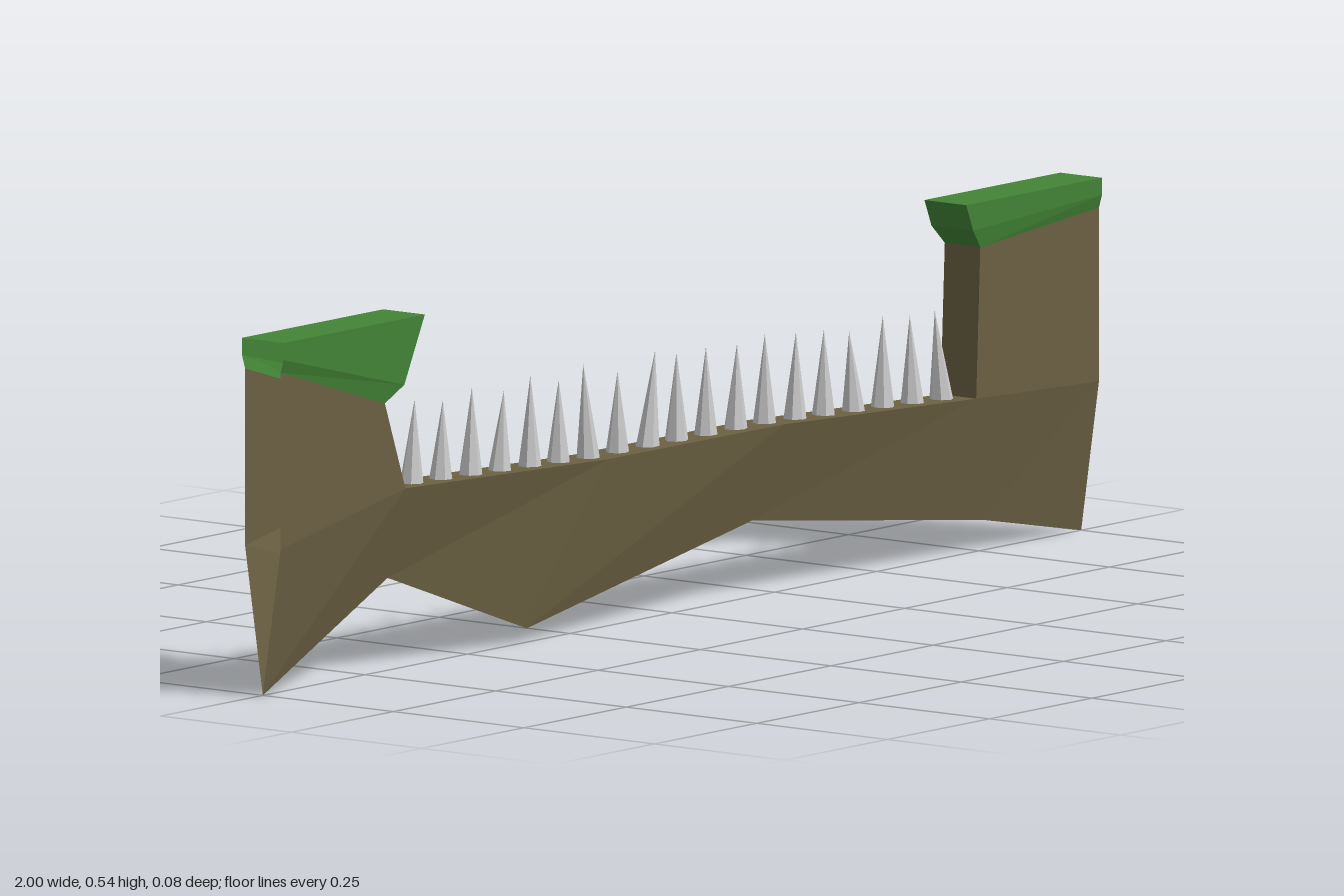
import * as THREE from 'three';

const material = (color) => new THREE.MeshStandardMaterial({ color, flatShading: true, side: THREE.DoubleSide });
const earthMaterial = material(0x6b6042);
const grassMaterial = material(0x438436);
const spikeMaterial = material(0xcccccc);

const HALF = 0.034; // half thickness of the earth
const LIP = 0.04; // half thickness of the grass

// Mesh from four-cornered faces, corners counter-clockwise from outside
function faceMesh(name, faces, mat) {
  const points = faces.flatMap(([a, b, c, d]) => [a, b, c, a, c, d]);
  const geometry = new THREE.BufferGeometry();
  geometry.setAttribute('position', new THREE.Float32BufferAttribute(points.flat(), 3));
  geometry.computeVertexNormals();
  const mesh = new THREE.Mesh(geometry, mat);
  mesh.name = name;
  return mesh;
}

// A front face given as corners, plus its mirror image at the back
const bothSides = (face) => [face, face.map(([x, y, z]) => [x, y, -z]).reverse()];

// A face spanning the thickness between two front points
const across = ([ax, ay, az], [bx, by, bz]) => [[ax, ay, az], [bx, by, bz], [bx, by, -bz], [ax, ay, -az]];

const at = (points, z) => points.map(([x, y]) => [x, y, z]);

// Upper edge of the tapering body; the middle stretch is the pit floor
const edge = at([[-1, 0.23], [-0.695, 0.285], [-0.2, 0.267], [0.23, 0.266], [0.7, 0.246], [1, 0.235]], HALF);
// Ridge along the underside
const keel = at([[-1, 0.004], [-0.695, 0.145], [-0.355, 0.025], [0.195, 0.12], [0.76, 0.05], [1, 0.004]], 0);

function floorHeight(x) {
  let i = 1;
  while (x > edge[i + 1][0]) i++;
  const [a, b] = [edge[i], edge[i + 1]];
  return THREE.MathUtils.mapLinear(x, a[0], b[0], a[1], b[1]);
}

// Grass profiles, each from the outer end to the pit end
const grassLeft = {
  top: at([[-1, 0.546], [-0.655, 0.546]], LIP),
  lip: at([[-1, 0.52], [-0.705, 0.445]], LIP),
  under: at([[-1, 0.5], [-0.745, 0.421]], HALF),
};
const grassRight = {
  top: at([[1, 0.546], [0.668, 0.546]], LIP),
  lip: at([[1, 0.52], [0.685, 0.505]], LIP),
  under: at([[1, 0.5], [0.71, 0.476]], HALF),
};

function orient(face, flip) {
  return flip ? [...face].reverse() : face;
}

// Grass cap, open at the outer end and underneath
function grassCap(name, { top, lip, under }, flip) {
  const faces = [
    ...bothSides(orient([lip[0], lip[1], top[1], top[0]], flip)),
    ...bothSides(orient([under[0], under[1], lip[1], lip[0]], flip)),
    orient(across(top[0], top[1]), flip),
    orient(across(top[1], lip[1]), flip),
    orient(across(lip[1], under[1]), flip),
  ];
  return faceMesh(name, faces, grassMaterial);
}

// Upright cliff sides and the wall facing the pit
function cliff(name, { under }, outer, inner, flip) {
  const faces = [
    ...bothSides(orient([outer, inner, under[1], under[0]], flip)),
    orient(across(under[1], inner), flip),
  ];
  return faceMesh(name, faces, earthMaterial);
}

export function createModel() {
  const group = new THREE.Group();
  group.name = 'spikePit';

  // Tapering earth body with the pit floor
  const body = [];
  for (let i = 0; i < edge.length - 1; i++) {
    body.push(...bothSides([keel[i], keel[i + 1], edge[i + 1], edge[i]]));
    if (i > 0 && i < edge.length - 2) body.push(across(edge[i], edge[i + 1]));
  }
  group.add(faceMesh('earthBody', body, earthMaterial));

  // Cliffs and their grass
  group.add(cliff('rightCliff', grassLeft, edge[0], edge[1], false));
  group.add(cliff('leftCliff', grassRight, edge[5], edge[4], true));
  group.add(grassCap('rightGrass', grassLeft, false));
  group.add(grassCap('leftGrass', grassRight, true));

  // Row of slightly leaning spikes: lean and tip height for each
  const spikes = new THREE.Group();
  spikes.name = 'spikes';
  const leans = [0.008, 0.005, 0.004, 0.01, 0.003, 0, -0.012, 0, 0.02, 0, 0, 0.004, 0, 0.004, 0, -0.01, 0, -0.006, -0.017];
  const tips = [0.41, 0.4, 0.41, 0.395, 0.41, 0.395, 0.412, 0.39, 0.412, 0.4, 0.4, 0.395, 0.402, 0.395, 0.39, 0.38, 0.392, 0.385, 0.385];
  leans.forEach((lean, i) => {
    const x = -0.637 + i * 0.072;
    const base = floorHeight(x) - 0.012;
    const height = tips[i] - base;
    const geometry = new THREE.ConeGeometry(0.021, height, 7);
    geometry.translate(0, height / 2, 0);
    geometry.rotateY(i * 1.3);
    geometry.scale(1, 1, 0.9);
    const spike = new THREE.Mesh(geometry, spikeMaterial);
    spike.name = 'spike';
    spike.position.set(x, base, 0);
    spike.rotation.z = -Math.atan2(lean, height);
    spikes.add(spike);
  });
  group.add(spikes);

  return group;
}
